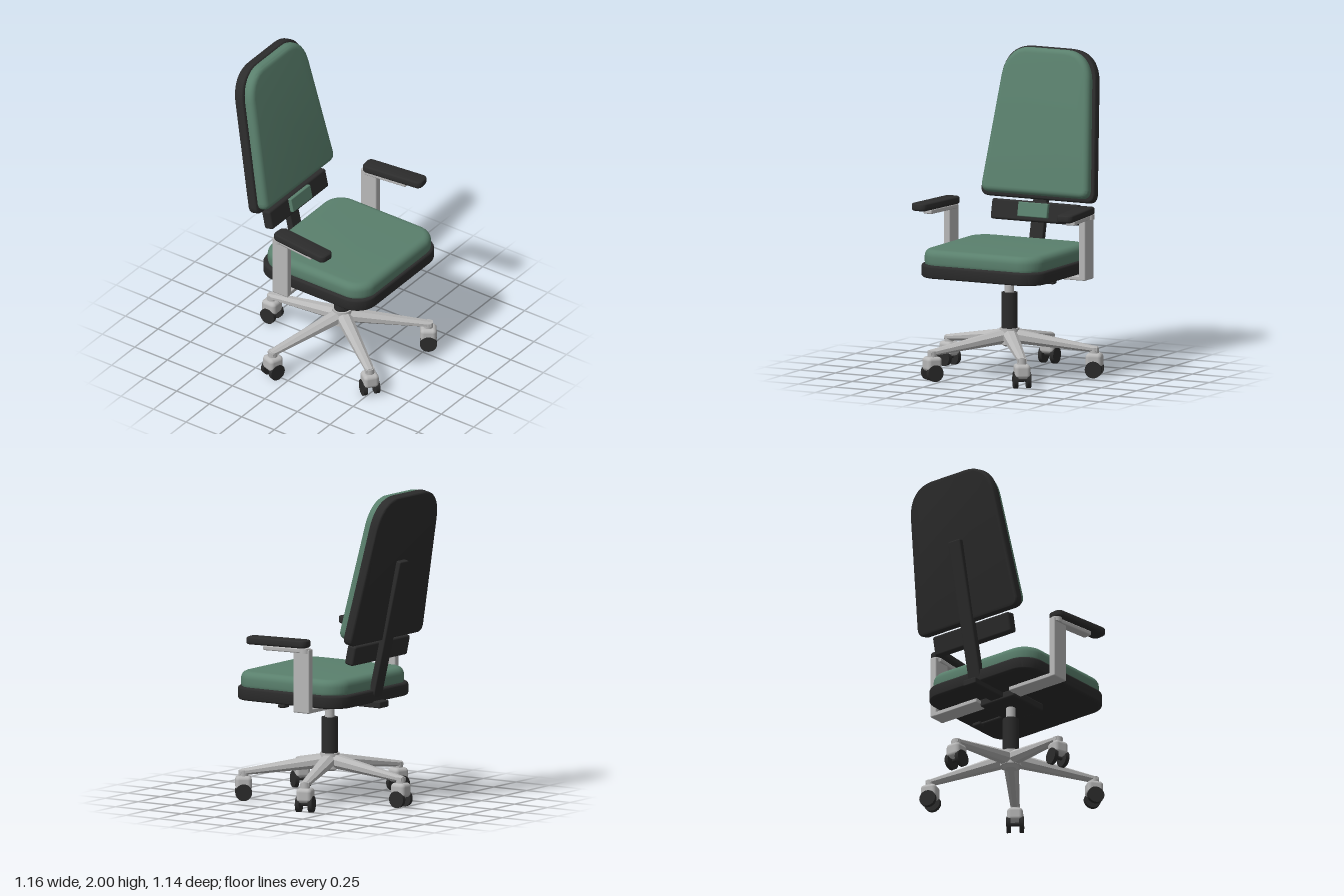
import * as THREE from 'three';
import { toCreasedNormals } from 'three/addons/utils/BufferGeometryUtils.js';
import { RoundedBoxGeometry } from 'three/addons/geometries/RoundedBoxGeometry.js';

const fabric = new THREE.MeshStandardMaterial({ color: 0x5a806d });
fabric.name = 'green fabric';
const black = new THREE.MeshStandardMaterial({ color: 0x2c2c2c });
black.name = 'black plastic';
const silver = new THREE.MeshStandardMaterial({ color: 0xb8b8b8 });
silver.name = 'silver metal';
const lerp = THREE.MathUtils.lerp;

function add(parent, name, geometry, material, x = 0, y = 0, z = 0) {
  const mesh = new THREE.Mesh(geometry, material);
  mesh.name = name;
  mesh.position.set(x, y, z);
  parent.add(mesh);
  return mesh;
}

function group(parent, name, x = 0, y = 0, z = 0) {
  const g = new THREE.Group();
  g.name = name;
  g.position.set(x, y, z);
  parent.add(g);
  return g;
}

const rbox = (w, h, d, r) => new RoundedBoxGeometry(w, h, d, 3, r);
const cyl = (r0, r1, h, n = 28) => new THREE.CylinderGeometry(r0, r1, h, n);

function roundedRect(w, h, r) {
  const s = new THREE.Shape();
  const x = w / 2 - r, y = h / 2 - r;
  s.absarc(x, y, r, 0, Math.PI / 2);
  s.absarc(-x, y, r, Math.PI / 2, Math.PI);
  s.absarc(-x, -y, r, Math.PI, Math.PI * 1.5);
  s.absarc(x, -y, r, Math.PI * 1.5, Math.PI * 2);
  return s;
}

// Slab of a shape from z = 0 to z = h with softly rounded rims
function slab(shape, h, b) {
  const g = new THREE.ExtrudeGeometry(shape, {
    depth: h - 2 * b, bevelThickness: b, bevelSize: b, bevelOffset: -b,
    bevelSegments: 5, curveSegments: 12,
  });
  g.translate(0, 0, b);
  return toCreasedNormals(g, 0.6);
}

const flatSlab = (shape, h, b) => slab(shape, h, b).rotateX(-Math.PI / 2);

// Backrest outline: wide at the bottom, narrowing to a round top
function backOutline(inset, top) {
  const s = new THREE.Shape();
  const w = 0.4 - inset, m = 0.335 - inset, r = 0.055;
  s.moveTo(-w + r, inset);
  s.lineTo(w - r, inset);
  s.quadraticCurveTo(w, inset, w, inset + r);
  s.lineTo(m, 0.76);
  s.bezierCurveTo(m - 0.012, top - 0.07, m - 0.085, top, 0.13, top);
  s.lineTo(-0.13, top);
  s.bezierCurveTo(-m + 0.085, top, -m + 0.012, top - 0.07, -m, 0.76);
  s.lineTo(-w, inset + r);
  s.quadraticCurveTo(-w, inset, -w + r, inset);
  return s;
}

// Tapered eight-sided base leg along +z, sloping down outwards
function legGeometry() {
  const g = new THREE.CylinderGeometry(1, 1, 1, 8, 1, false, Math.PI / 8);
  g.rotateX(Math.PI / 2);
  const p = g.attributes.position;
  for (let i = 0; i < p.count; i++) {
    const t = p.getZ(i) + 0.5;
    p.setXYZ(i,
      p.getX(i) * lerp(0.052, 0.03, t),
      lerp(0.25, 0.176, t) + p.getY(i) * lerp(0.048, 0.02, t),
      lerp(0.03, 0.56, t));
  }
  return toCreasedNormals(g.toNonIndexed(), 0.5);
}

function buildBase(chair) {
  const base = group(chair, 'base', 0, 0, 0.06);
  add(base, 'hub', cyl(0.062, 0.068, 0.1), silver, 0, 0.25, 0);
  add(base, 'hubUnderside', cyl(0.06, 0.035, 0.02), silver, 0, 0.195, 0);
  add(base, 'columnSleeve', cyl(0.051, 0.051, 0.235), black, 0, 0.408, 0);
  add(base, 'gasLift', cyl(0.03, 0.03, 0.12), silver, 0, 0.565, 0);
  const leg = legGeometry();
  for (let i = 0; i < 5; i++) {
    const spoke = group(base, 'spoke');
    spoke.rotation.y = Math.PI + (i * Math.PI * 2) / 5;
    add(spoke, 'leg', leg, silver);
    const caster = group(spoke, 'caster', 0, 0, 0.54);
    add(caster, 'casterStem', cyl(0.03, 0.03, 0.05), silver, 0, 0.165, 0);
    add(caster, 'casterHood', rbox(0.1, 0.092, 0.104, 0.025), silver, 0, 0.109, 0);
    for (const side of [-1, 1]) {
      const wheel = cyl(0.053, 0.053, 0.026).rotateZ(Math.PI / 2);
      add(caster, 'wheel', wheel, black, side * 0.041, 0.053, 0);
    }
    add(caster, 'axle', cyl(0.012, 0.012, 0.07, 12).rotateZ(Math.PI / 2), black, 0, 0.053, 0);
  }
}

function buildSeat(chair) {
  const seat = group(chair, 'seat', 0, 0, 0.11);
  add(seat, 'seatPan', flatSlab(roundedRect(0.865, 0.832, 0.14), 0.083, 0.015), black, 0, 0.65, 0);
  add(seat, 'seatCushion', flatSlab(roundedRect(0.83, 0.795, 0.135), 0.125, 0.045), fabric, 0, 0.703, 0.005);
  add(chair, 'mechanism', rbox(0.27, 0.052, 0.3, 0.012), black, 0, 0.63, 0.07);
  add(chair, 'backCarrier', rbox(0.1, 0.042, 0.33, 0.008), black, 0, 0.64, -0.19);
  add(chair, 'leverRod', cyl(0.009, 0.009, 0.22, 12).rotateZ(Math.PI / 2), black, 0.23, 0.632, 0.17);
  add(chair, 'leverPaddle', rbox(0.065, 0.026, 0.05, 0.01), black, 0.35, 0.632, 0.17);
}

function buildBack(chair) {
  const back = group(chair, 'backrest', 0, 1.05, -0.37);
  back.rotation.x = -0.21;
  add(back, 'backShell', slab(backOutline(0, 0.957), 0.066, 0.015), black);
  add(back, 'backCushion', slab(backOutline(0.022, 0.946), 0.085, 0.035), fabric, 0, 0, 0.04);

  const upright = add(chair, 'backUpright', rbox(0.095, 0.93, 0.045, 0.008), black, 0, 1.11, -0.383);
  upright.rotation.x = -0.23;

  const lumbar = group(chair, 'lumbarSupport', 0, 0.983, -0.302);
  lumbar.rotation.x = -0.21;
  add(lumbar, 'lumbarBlock', rbox(0.61, 0.128, 0.065, 0.014), black);
  add(lumbar, 'lumbarPad', rbox(0.21, 0.092, 0.04, 0.006), fabric, 0, 0.008, 0.036);
}

function buildArm(chair, side) {
  const arm = group(chair, side > 0 ? 'leftArm' : 'rightArm');
  add(arm, 'armCrossbar', rbox(0.37, 0.028, 0.118, 0.006), silver, side * 0.315, 0.636, -0.064);
  add(arm, 'armPost', rbox(0.046, 0.408, 0.12, 0.008), silver, side * 0.478, 0.826, -0.064);
  add(arm, 'armPivot', cyl(0.035, 0.035, 0.03), silver, side * 0.485, 1.018, -0.085);
  const top = group(arm, 'armTop', side * 0.495, 0, 0.11);
  top.rotation.y = side * 0.11;
  add(top, 'padBracket', rbox(0.062, 0.03, 0.3, 0.008), silver, 0, 1.018, -0.055);
  add(top, 'armPad', flatSlab(roundedRect(0.108, 0.425, 0.035), 0.048, 0.014), black, 0, 1.035, 0);
}

export function createModel() {
  const chair = new THREE.Group();
  chair.name = 'officeChair';
  buildBase(chair);
  buildSeat(chair);
  buildBack(chair);
  for (const side of [-1, 1]) buildArm(chair, side);
  return chair;
}
